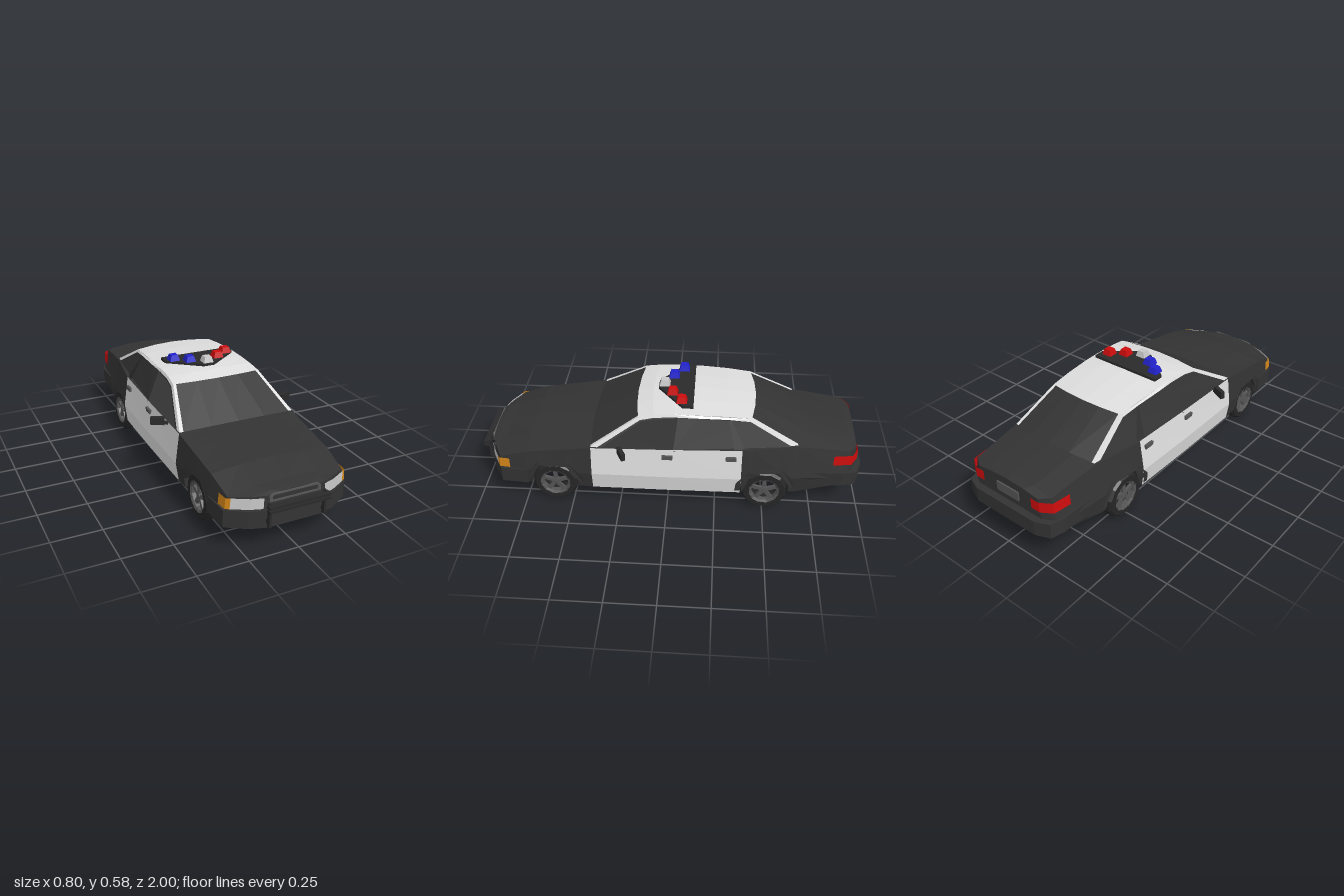
import * as THREE from 'three';

const mat = (name, color) => Object.assign(
  new THREE.MeshStandardMaterial({ color, flatShading: true, side: THREE.DoubleSide }), { name });
const black = mat('black paint', 0x333333), white = mat('white paint', 0xdddddd);
const rubber = mat('tyre rubber', 0x262626), grey = mat('grey metal', 0x555555);
const trim = mat('dark trim', 0x2a2a2a), lamp = mat('clear lamp', 0xc8c8c8);
const red = mat('red lamp', 0xcc0c0c), blue = mat('blue lamp', 0x2222cc), amber = mat('amber lamp', 0xd08418);
const lerp = THREE.MathUtils.lerp;

// Body stations: z, bottom y, bottom x, waist x, shoulder y, shoulder x, centre top y
const KEYS = [
  [0.945, 0.115, 0.13, 0.14, 0.268, 0.13, 0.28],
  [0.92, 0.115, 0.2, 0.215, 0.265, 0.2, 0.285],
  [0.87, 0.11, 0.29, 0.305, 0.262, 0.295, 0.292],
  [0.73, 0.105, 0.305, 0.322, 0.305, 0.305, 0.328],
  [0.39, 0.1, 0.32, 0.335, 0.355, 0.315, 0.365],
  [0, 0.1, 0.32, 0.335, 0.362, 0.313, 0.365],
  [-0.39, 0.1, 0.315, 0.328, 0.368, 0.303, 0.375],
  [-0.66, 0.1, 0.29, 0.3, 0.375, 0.262, 0.4],
  [-0.93, 0.145, 0.255, 0.275, 0.345, 0.24, 0.367],
  [-0.965, 0.15, 0.2, 0.21, 0.34, 0.19, 0.357],
];
const WHEELS = [0.59, -0.505], WAIST = 0.2;

function keyAt(z) {
  let i = 0;
  while (i < KEYS.length - 2 && z < KEYS[i + 1][0]) i++;
  const a = KEYS[i], b = KEYS[i + 1], t = (a[0] - z) / (a[0] - b[0]);
  return a.map((v, k) => lerp(v, b[k], t));
}
function bodyX(z, y) {
  const [, yb, xb, xm, ys, xs] = keyAt(z);
  return y < WAIST ? lerp(xb, xm, (y - yb) / (WAIST - yb)) : lerp(xm, xs, (y - WAIST) / (ys - WAIST));
}
const cabinX = (z, y) => 0.312 - (y - 0.36) * 0.47 - Math.max(0, -0.2 - z) * 0.1;

// Skin over rows of points running front to back; pick(i, j) chooses the material slot
function loft(name, rows, mats, pick = () => 0, caps = false) {
  const n = rows[0].length, faces = [[], []];
  for (let i = 0; i < rows.length - 1; i++) for (let j = 0; j < n - 1; j++) {
    const a = i * n + j, c = a + n;
    faces[pick(i, j)].push(a, c, a + 1, a + 1, c, c + 1);
  }
  const last = (rows.length - 1) * n;
  if (caps) for (let j = 1; j < n - 2; j++) faces[0].push(0, j, j + 1, last, last + j + 1, last + j);
  let g = new THREE.BufferGeometry();
  g.setAttribute('position', new THREE.Float32BufferAttribute(rows.flat(2), 3));
  g.setIndex([...faces[0], ...faces[1]]);
  g = g.toNonIndexed();
  g.computeVertexNormals();
  if (Array.isArray(mats)) {
    g.addGroup(0, faces[0].length, 0);
    g.addGroup(faces[0].length, faces[1].length, 1);
  }
  return named(name, new THREE.Mesh(g, mats));
}
const named = (name, o) => Object.assign(o, { name });
function box(name, m, w, h, d, x, y, z) {
  const b = named(name, new THREE.Mesh(new THREE.BoxGeometry(w, h, d), m));
  b.position.set(x, y, z);
  return b;
}
const shape = pts => new THREE.Shape(pts.map(p => new THREE.Vector2(...p)));

// Side plate drawn in (z, y) and pressed onto the surface xAt(z, y)
function sidePanel(name, m, pts, xAt, out = 0) {
  const g = new THREE.ShapeGeometry(shape(pts)), p = g.attributes.position;
  for (let i = 0; i < p.count; i++) {
    const z = p.getX(i), y = p.getY(i);
    p.setXYZ(i, xAt(z, y) + out, y, z);
  }
  g.computeVertexNormals();
  return named(name, new THREE.Mesh(g, m));
}
// Slab from a half outline in (x, z), mirrored
function slab(name, m, half, y0, y1) {
  const pts = [...half, ...half.map(([x, z]) => [-x, z]).reverse()];
  const g = new THREE.ExtrudeGeometry(shape(pts), { depth: y1 - y0, bevelEnabled: false });
  g.rotateX(Math.PI / 2).translate(0, y1, 0);
  return named(name, new THREE.Mesh(g, m));
}
// Upright strip following a path in (x, z)
const strip = (name, m, path, y0, y1) => loft(name, path.map(([x, z]) => [[x, y0, z], [x * 0.985, y1, z]]), m);

// Crosswise curve of the cabin, from the left edge to the right edge
const arc = (z, y, yc, zc, inset = 0) => [1, 0.5, 0, -0.5, -1].map(t =>
  [t * (cabinX(z, y) - inset), lerp(yc, y, t * t), lerp(zc, z, t * t)]);

function makeBody() {
  const stations = KEYS.map(k => [k[0], 0]);
  for (const c of WHEELS)
    for (const [d, h] of [[0.125, 0], [0.125, 0.15], [0.07, 0.235], [-0.07, 0.235], [-0.125, 0.15], [-0.125, 0]])
      stations.push([c + d, h]);
  // duplicates keep their order, so each arch gets upright ends
  stations.sort((a, b) => b[0] - a[0]);
  const rows = stations.map(([z, arch]) => {
    const [, yb, , , ys, xs, yt] = keyAt(z), ya = Math.max(yb, arch), ym = Math.max(WAIST, ya);
    const well = Math.min(0.22, bodyX(z, yb) * 0.8);
    const half = [[0, yb, z], [well, yb, z], [well, ya, z], [bodyX(z, ya), ya, z], [bodyX(z, ym), ym, z],
      [xs, ys, z], [xs * 0.55, lerp(ys, yt, 0.7), z], [0, yt, z]];
    return [...half, ...half.slice(0, 7).reverse().map(([x, y, w]) => [-x, y, w])];
  });
  const isDoor = (i, j) => {
    const mid = (stations[i][0] + stations[i + 1][0]) / 2;
    return Math.abs(mid) < 0.385 && [3, 4, 9, 10].includes(j) ? 1 : 0;
  };
  return loft('body', rows, [black, white], isDoor, true);
}

function makeWheel(z) {
  const wheel = named('wheel', new THREE.Group());
  const ring = (name, m, pts) => {
    const g = new THREE.LatheGeometry(pts.map(p => new THREE.Vector2(...p)), 12);
    wheel.add(named(name, new THREE.Mesh(g.rotateY(Math.PI / 12).rotateZ(-Math.PI / 2), m)));
  };
  ring('tyre', rubber, [[0.076, -0.041], [0.108, -0.041], [0.119, -0.028], [0.119, 0.028], [0.108, 0.041], [0.076, 0.041], [0.076, -0.041]]);
  ring('rim', grey, [[0.068, 0.01], [0.068, 0.036], [0.08, 0.043]]);
  ring('hub', grey, [[0, 0.012], [0.02, 0.012], [0.02, 0.034], [0, 0.036]]);
  for (let i = 0; i < 5; i++) {
    const spoke = new THREE.BoxGeometry(0.014, 0.06, 0.02).translate(0.025, 0.043, 0).rotateX(i * Math.PI * 0.4);
    wheel.add(named('spoke', new THREE.Mesh(spoke, grey)));
  }
  wheel.position.set(0.272, 0.115, z);
  return wheel;
}

export function createModel() {
  const car = named('patrolCar', new THREE.Group());
  const pair = (name, ...parts) => {
    const left = named(name + 'Left', new THREE.Group());
    left.add(...parts);
    const right = named(name + 'Right', left.clone());
    right.scale.x = -1;
    car.add(left, right);
  };
  car.add(makeBody());

  // Bumpers and plate
  car.add(slab('frontBumper', black, [[0.325, 0.73], [0.316, 0.87], [0.22, 0.93], [0.14, 0.955]], 0.113, 0.2));
  car.add(slab('rearBumper', black, [[0.287, -0.7], [0.283, -0.9], [0.265, -0.97], [0.19, -1]], 0.15, 0.23));
  car.add(box('plate', grey, 0.14, 0.05, 0.008, 0, 0.29, -0.968));

  // Roof, glass and pillars
  const top = [0.15, 0.508, 0.512, 0.17], base = [0.39, 0.36, 0.369, 0.405];
  const rearTop = [-0.42, 0.508, 0.516, -0.445], rearBase = [-0.66, 0.38, 0.4, -0.69];
  const roofRows = [top, [0.07, 0.522, 0.532, 0.09], [-0.03, 0.527, 0.542, -0.03],
    [-0.15, 0.526, 0.541, -0.15], [-0.3, 0.52, 0.532, -0.3], rearTop];
  car.add(loft('roof', roofRows.map(r => arc(...r)), white));
  car.add(loft('windshield', [arc(...base, 0.02), arc(...top, 0.016)], black));
  car.add(loft('rearWindow', [arc(...rearTop, 0.016), arc(...rearBase, 0.016)], black));
  const edge = (r, inset) => [arc(...r)[0], arc(...r, inset)[0]];
  pair('pillars',
    loft('frontPillar', [edge(base, 0.021), edge(top, 0.017)], white),
    loft('rearPillar', [edge(rearTop, 0.017), edge(rearBase, 0.017)], white));
  pair('sideFrame',
    sidePanel('roofRail', white, [[0.39, 0.36], ...roofRows.map(r => [r[0], r[1]]), [-0.66, 0.38], [-0.62, 0.38],
      [-0.415, 0.494], [-0.3, 0.506], [-0.15, 0.512], [-0.03, 0.513], [0.07, 0.508], [0.14, 0.495], [0.355, 0.36]], cabinX),
    sidePanel('windowTrim', black, [[0.355, 0.36], [0.14, 0.495], [0.07, 0.508], [-0.03, 0.513], [-0.03, 0.506],
      [0.07, 0.501], [0.135, 0.489], [0.335, 0.36]], cabinX),
    sidePanel('rearSideWindow', black, [[-0.03, 0.355], [-0.05, 0.513], [-0.15, 0.512], [-0.3, 0.506],
      [-0.415, 0.494], [-0.62, 0.38], [-0.64, 0.36]], cabinX),
    sidePanel('rearDoorPost', trim, [[-0.34, 0.36], [-0.395, 0.36], [-0.32, 0.503], [-0.305, 0.504]], cabinX, 0.003));

  // Wheels and arches
  for (const z of WHEELS) {
    const out = [[0.155, 0.12], [0.15, 0.175], [0.082, 0.255]], inn = [[0.125, 0.12], [0.125, 0.15], [0.07, 0.235]];
    const ring = [...out, ...out.map(([d, y]) => [-d, y]).reverse(),
      ...inn.map(([d, y]) => [-d, y]), ...inn.slice().reverse()].map(([d, y]) => [z + d, y]);
    pair(z > 0 ? 'frontWheel' : 'rearWheel', makeWheel(z), sidePanel('archLip', black, ring, bodyX, 0.007));
  }

  // Lamps
  pair('headlight',
    strip('lens', lamp, [[0.157, 0.946], [0.214, 0.928], [0.292, 0.886]], 0.208, 0.261),
    strip('indicator', amber, [[0.292, 0.886], [0.311, 0.874], [0.317, 0.82]], 0.208, 0.261));
  pair('tailLight', strip('lens', red, [[0.276, -0.845], [0.263, -0.938], [0.207, -0.973], [0.155, -0.973]], 0.275, 0.33));

  // Grille
  const grille = shape([[-0.13, 0.236], [0.13, 0.236], [0.13, 0.264], [0.115, 0.276], [-0.115, 0.276], [-0.13, 0.264]]);
  grille.holes.push(new THREE.Path([[-0.115, 0.243], [-0.115, 0.262], [-0.108, 0.268], [0.108, 0.268], [0.115, 0.262], [0.115, 0.243]]
    .map(p => new THREE.Vector2(...p))));
  const grilleMesh = new THREE.Mesh(new THREE.ExtrudeGeometry(grille, { depth: 0.008, bevelEnabled: false }), grey);
  grilleMesh.position.z = 0.943;
  car.add(named('grille', grilleMesh), box('lowerGrille', grey, 0.25, 0.008, 0.012, 0, 0.202, 0.95));

  // Push bar
  for (const y of [0.215, 0.234]) car.add(box('pushBar', trim, 0.31, 0.012, 0.03, 0, y, 0.985));
  pair('pushBarPost', box('post', trim, 0.012, 0.12, 0.018, 0.14, 0.185, 0.97),
    box('mount', trim, 0.012, 0.02, 0.05, 0.14, 0.15, 0.955));

  // Mirrors and door handles
  const mirror = box('mirrorHousing', trim, 0.07, 0.04, 0.022, 0.362, 0.365, 0.228);
  mirror.rotation.y = 0.45;
  const stalk = box('mirrorStalk', trim, 0.035, 0.014, 0.016, 0.318, 0.352, 0.246);
  stalk.rotation.z = 0.4;
  pair('mirror', mirror, stalk);
  pair('doorHandles', ...[0, -0.325].map(z => box('handle', grey, 0.014, 0.022, 0.055, bodyX(z, 0.32) + 0.003, 0.32, z)));

  // Roof light bar
  car.add(slab('lightBarBase', trim, [[0.197, -0.125], [0.197, -0.07], [0.03, 0.06]], 0.54, 0.554));
  for (const [x, z, m] of [[0, 0.03, lamp], [0.08, -0.015, red], [0.15, -0.065, red], [-0.08, -0.015, blue], [-0.15, -0.065, blue]]) {
    const g = new THREE.CylinderGeometry(0.026, 0.039, 0.031, 4).rotateY(Math.PI / 4);
    const light = named('beacon', new THREE.Mesh(g, m));
    light.position.set(x, 0.569, z);
    car.add(light);
  }
  return car;
}
